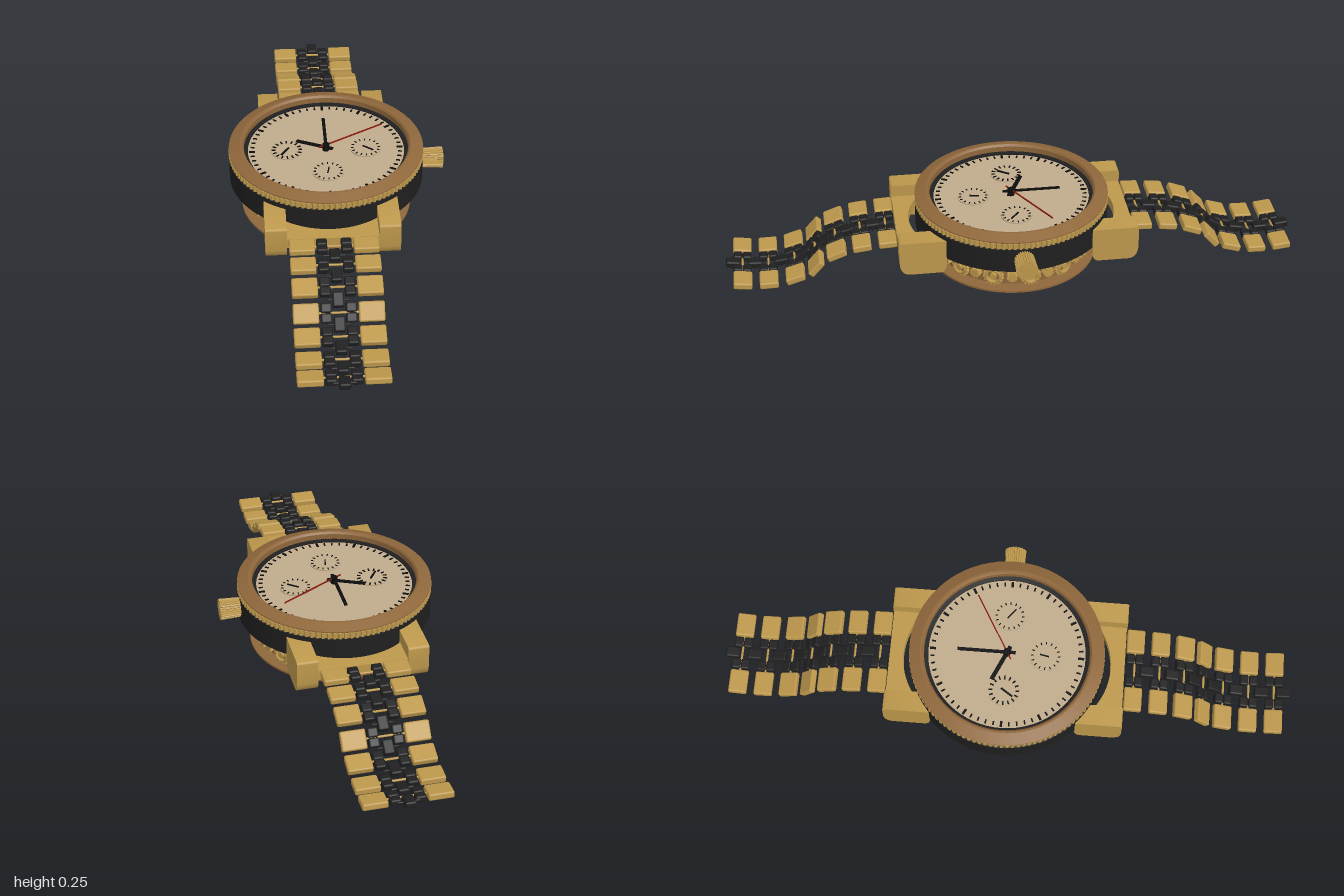
import * as THREE from 'three';
import { toCreasedNormals } from 'three/addons/utils/BufferGeometryUtils.js';
import { RoundedBoxGeometry } from 'three/addons/geometries/RoundedBoxGeometry.js';

const mat = (name, color) => Object.assign(new THREE.MeshStandardMaterial({ color }), { name });
const gold = mat('gold', 0xbd984c);
const bronze = mat('bronze', 0x8f673b);
const black = mat('black', 0x1f1f1f);
const cream = mat('dial cream', 0xc0ab8b);
const ink = mat('ink', 0x0c0c0c);
const red = mat('red', 0x8a1a10);

function add(parent, name, geo, material, x = 0, y = 0, z = 0) {
  const m = new THREE.Mesh(geo, material);
  m.name = name;
  m.position.set(x, y, z);
  parent.add(m);
  return m;
}

function group(parent, name) {
  const g = new THREE.Group();
  g.name = name;
  parent.add(g);
  return g;
}

const lathe = (pts) => toCreasedNormals(
  new THREE.LatheGeometry(pts.map((p) => new THREE.Vector2(p[0], p[1])), 72), 0.25);

// Toothed disc, extruded along +z
function gearGeometry(radius, teeth, toothDepth, depth, hole = 0) {
  const s = new THREE.Shape();
  for (let i = 0; i < teeth; i++) {
    [[0, -1], [0.2, 0], [0.55, 0], [0.75, -1]].forEach(([f, k], j) => {
      const a = ((i + f) / teeth) * Math.PI * 2;
      const r = radius + k * toothDepth;
      s[i + j ? 'lineTo' : 'moveTo'](r * Math.cos(a), r * Math.sin(a));
    });
  }
  s.closePath();
  if (hole) s.holes.push(new THREE.Path().absarc(0, 0, hole, 0, Math.PI * 2, true));
  return new THREE.ExtrudeGeometry(s, { depth, bevelEnabled: false, curveSegments: 36 });
}

// Flat hand pointing along (dx, dz) from a pivot
function addHand(parent, name, material, pivot, dx, dz, width, tail) {
  const length = Math.hypot(dx, dz);
  const geo = new THREE.BoxGeometry(width, 0.004, length + tail);
  geo.translate(0, 0, -(length - tail) / 2);
  add(parent, name, geo, material, ...pivot).rotation.y = Math.atan2(-dx, -dz);
}

// Ring of radial tick marks
function addTicks(parent, count, cx, y, cz, radius, size) {
  for (let i = 0; i < count; i++) {
    const a = (i / count) * Math.PI * 2;
    const long = count === 60 && i % 5 === 0 ? 1.5 : 1;
    const geo = new THREE.BoxGeometry(size * 0.38 * long, 0.003, size * long);
    add(parent, 'tick', geo, ink, cx + radius * Math.sin(a), y, cz + radius * Math.cos(a)).rotation.y = a;
  }
}

function buildCase(watch) {
  const g = group(watch, 'case');
  add(g, 'caseBody', lathe([[0, 0.105], [0.3, 0.105], [0.335, 0.127], [0.335, 0.213], [0.325, 0.216], [0, 0.216]]), black);
  const knurl = gearGeometry(0.336, 110, 0.006, 0.021, 0.29).rotateX(-Math.PI / 2);
  add(g, 'knurledRing', knurl, gold, 0, 0.215, 0);
  add(g, 'bezel', lathe([[0.29, 0.236], [0.331, 0.236], [0.335, 0.239], [0.335, 0.243], [0.297, 0.257],
    [0.29, 0.257], [0.284, 0.25], [0.284, 0.218]]), bronze);
  add(g, 'backPlate', new THREE.CylinderGeometry(0.295, 0.295, 0.007, 72), bronze, 0, 0.0165, 0);
  add(g, 'upperPlate', new THREE.CylinderGeometry(0.292, 0.292, 0.006, 72), bronze, 0, 0.102, 0);
  add(g, 'movementDrum', new THREE.CylinderGeometry(0.25, 0.25, 0.086, 72), bronze, 0, 0.06, 0);

  // Gears facing outwards around the drum
  const big = gearGeometry(0.036, 16, 0.006, 0.012, 0.02);
  const small = gearGeometry(0.018, 10, 0.004, 0.026);
  const hub = new THREE.CylinderGeometry(0.012, 0.012, 0.024, 12).rotateX(Math.PI / 2);
  const rim = new THREE.TorusGeometry(0.024, 0.005, 6, 20);
  for (let i = 0; i < 26; i++) {
    const a = (i / 26) * Math.PI * 2;
    const gear = group(g, 'movementGear');
    gear.position.set(0.25 * Math.sin(a), 0.06, 0.25 * Math.cos(a));
    gear.rotation.y = a;
    if (i % 2) {
      add(gear, 'wheel', big, gold, 0, 0, 0.008);
      add(gear, 'wheelRim', rim, gold, 0, 0, 0.021);
      add(gear, 'wheelHub', hub, gold, 0, 0, 0.014);
      add(gear, 'wheelBack', new THREE.CylinderGeometry(0.024, 0.024, 0.012, 16).rotateX(Math.PI / 2), bronze, 0, 0, 0.006);
    } else {
      add(gear, 'pinion', small, gold);
    }
  }

  // Crown on the model's left side
  const crown = gearGeometry(0.037, 26, 0.004, 0.07).rotateY(Math.PI / 2);
  const p = crown.attributes.position;
  for (let i = 0; i < p.count; i++) {
    const k = 0.92 + (0.08 * p.getX(i)) / 0.07;
    p.setXYZ(i, p.getX(i), p.getY(i) * k, p.getZ(i) * k);
  }
  add(g, 'crown', crown, gold, 0.335, 0.175, 0);
  add(g, 'crownCap', new THREE.CylinderGeometry(0.024, 0.024, 0.003, 24).rotateZ(Math.PI / 2), gold, 0.4055, 0.175, 0);
  add(g, 'crownStem', new THREE.CylinderGeometry(0.026, 0.026, 0.03, 20).rotateZ(Math.PI / 2), gold, 0.33, 0.175, 0);
}

function buildDial(watch) {
  const g = group(watch, 'dial');
  add(g, 'dialFace', new THREE.CylinderGeometry(0.272, 0.272, 0.008, 72), cream, 0, 0.22, 0);
  add(g, 'dialRing', lathe([[0.27, 0.217], [0.286, 0.217], [0.286, 0.231], [0.27, 0.228], [0.27, 0.217]]), black);
  addTicks(g, 60, 0, 0.225, 0, 0.255, 0.014);

  // Three small dials
  const subs = [[-0.135, 0, -0.02, 0.03], [0.137, 0, 0.025, 0.02], [0, 0.133, 0.004, -0.02]];
  subs.forEach(([x, z, dx, dz], i) => {
    add(g, 'subDial', new THREE.CylinderGeometry(0.054, 0.054, 0.005, 36), cream, x, 0.2255, z);
    addTicks(g, 16, x, 0.2285, z, 0.046, i === 0 ? 0.013 : 0.009);
    addHand(g, 'subDialHand', ink, [x, 0.23, z], dx, dz, i === 0 ? 0.006 : 0.004, 0.012);
  });

  // Main hands
  addHand(g, 'hourHand', ink, [0, 0.234, 0], -0.1, -0.045, 0.014, 0.025);
  addHand(g, 'minuteHand', ink, [0, 0.239, 0], 0, -0.17, 0.011, 0.03);
  addHand(g, 'secondHand', red, [0, 0.244, 0], 0.2, -0.115, 0.004, 0.03);
  add(g, 'handHub', new THREE.CylinderGeometry(0.012, 0.012, 0.024, 20), ink, 0, 0.236, 0);
}

// Lugs, end link and bracelet running towards +z
function buildStrap(watch, name, turn) {
  const g = group(watch, name);
  g.rotation.y = turn;

  // Lugs: rounded side profile (z, y) extruded across x
  const lug = new THREE.Shape();
  lug.moveTo(0.25, 0.197);
  lug.lineTo(0.4, 0.197);
  lug.quadraticCurveTo(0.41, 0.197, 0.41, 0.187);
  lug.lineTo(0.41, 0.12);
  lug.quadraticCurveTo(0.408, 0.074, 0.375, 0.073);
  lug.lineTo(0.27, 0.073);
  lug.quadraticCurveTo(0.255, 0.075, 0.25, 0.1);
  const lugGeo = toCreasedNormals(new THREE.ExtrudeGeometry(lug, { depth: 0.072, bevelEnabled: false })
    .rotateY(-Math.PI / 2), 0.6);
  for (const x of [-0.153, 0.225]) add(g, 'lug', lugGeo, gold, x);

  // End link with a curved inner edge
  const end = new THREE.Shape();
  const a = Math.acos(0.153 / 0.25);
  end.moveTo(-0.153, 0.408);
  end.lineTo(0.153, 0.408);
  end.absarc(0, 0.11, 0.25, a, Math.PI - a, false);
  end.closePath();
  add(g, 'endLink', new THREE.ExtrudeGeometry(end, { depth: 0.035, bevelEnabled: false, curveSegments: 20 })
    .rotateX(Math.PI / 2), gold, 0, 0.154, 0);

  // Bracelet rows: z, y, slope angle, length
  const rows = [
    [0.442, 0.146, 0.05, 0.062], [0.53, 0.138, 0.12, 0.064], [0.617, 0.116, 0.36, 0.068],
    [0.689, 0.069, 0.85, 0.066], [0.762, 0.031, 0.3, 0.066], [0.853, 0.016, 0.02, 0.064],
    [0.942, 0.021, -0.12, 0.064], [1.006, 0.029, -0.1, 0.05],
  ];
  const tilt = (row, name2) => {
    const r = group(g, name2);
    r.position.set(0, row[1], row[0]);
    r.rotation.x = row[2];
    return r;
  };
  rows.forEach((row, i) => {
    if (i < 7) {
      const link = tilt(row, 'linkRow');
      for (const s of [-1, 1]) {
        add(link, 'outerLink', new RoundedBoxGeometry(0.084, 0.024, row[3], 2, 0.006), gold, s * 0.106);
        for (const e of [-1, 1]) {
          add(link, 'innerLink', new RoundedBoxGeometry(0.036, 0.023, row[3] / 2 - 0.001, 2, 0.006), black,
            s * 0.0405, 0, (e * row[3]) / 4);
        }
      }
      add(link, 'linkPin', new THREE.CylinderGeometry(0.004, 0.004, 0.14, 8).rotateZ(Math.PI / 2), gold);
    }
    // Centre links bridge neighbouring rows
    const next = rows[i + 1];
    if (!next) return;
    const mid = i === 6 ? [0.974, 0.026, -0.12] : row.map((v, k) => (v + next[k]) / 2);
    const centre = tilt(mid, 'centreLinkJoint');
    add(centre, 'centreLink', new RoundedBoxGeometry(0.037, 0.023, 0.05, 2, 0.006), black);
    add(centre, 'centrePin', new THREE.CylinderGeometry(0.004, 0.004, 0.07, 8).rotateZ(Math.PI / 2), black);
  });
}

export function createModel() {
  const model = new THREE.Group();
  model.name = 'wristwatch';
  const watch = group(model, 'watch');
  watch.position.x = -0.036;
  buildCase(watch);
  buildDial(watch);
  buildStrap(watch, 'frontStrap', 0);
  buildStrap(watch, 'backStrap', Math.PI);
  return model;
}
